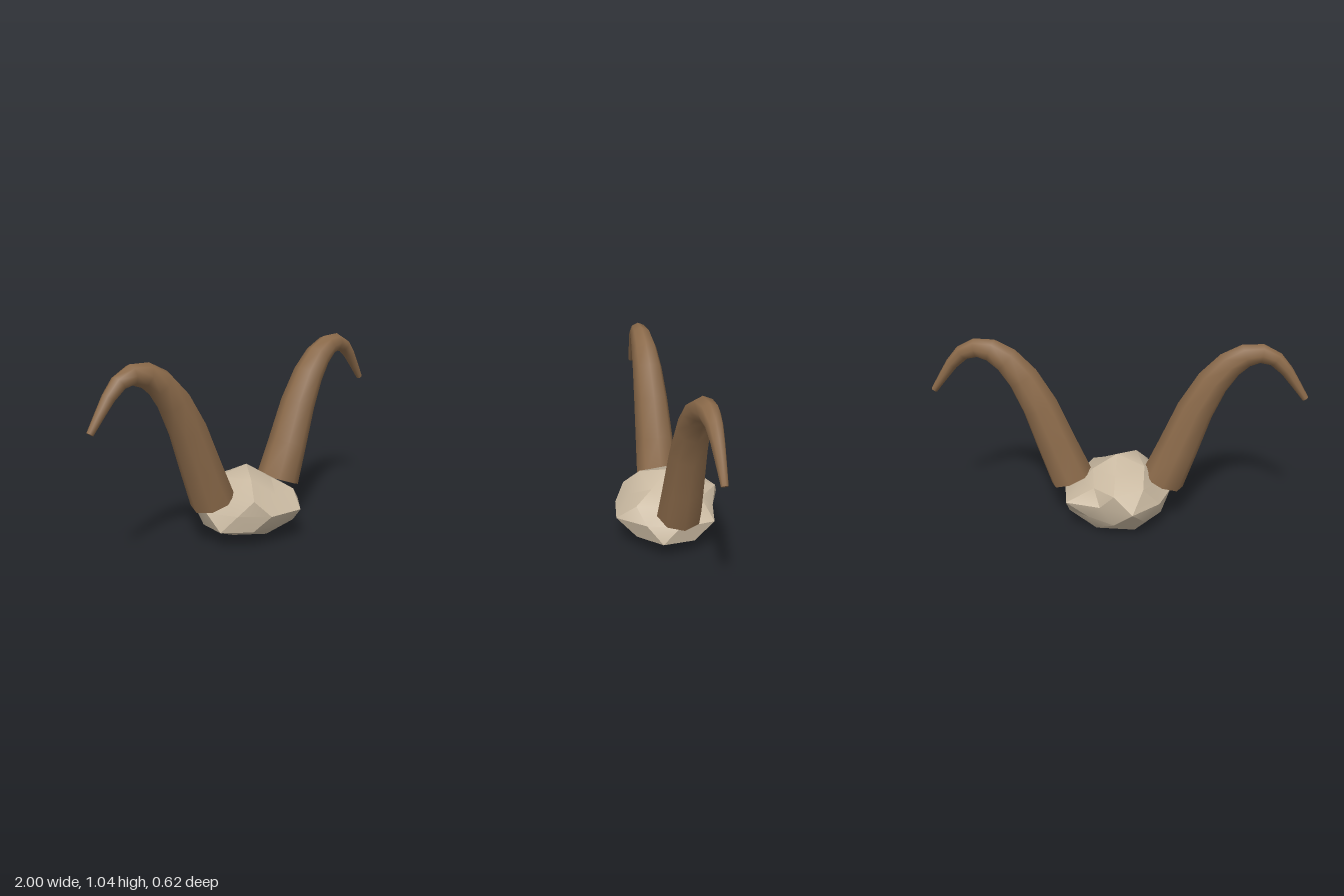
import * as THREE from 'three';
import { toCreasedNormals } from 'three/addons/utils/BufferGeometryUtils.js';

const bone = new THREE.MeshStandardMaterial({ color: 0xc8b8a0 });
bone.name = 'bone';
const hornBrown = new THREE.MeshStandardMaterial({ color: 0x8b6a4a });
hornBrown.name = 'hornBrown';

// Radial scale of the skull's vertices, per ring, every 36 degrees from 18 degrees
const ringScales = [
  { y: 0.85, s: [1, 0.85, 1, 1.06, 1, 1, 1, 0.87, 1, 0.85] },
  { y: 0.49, s: [0.8, 0.95, 0.85, 1, 0.85, 0.82, 1, 1, 0.75, 0.75] },
  { y: 0, s: [0.95, 1.07, 1, 0.97, 0.88, 0.97, 1.08, 1, 0.82, 1.07] },
  { y: -0.49, s: [1.11, 1, 0.93, 0.95, 1.08, 1, 1, 0.97, 0.9, 1.05] },
  { y: -0.85, s: [1.05, 1, 0.97, 1, 0.95, 1, 1.12, 1, 1.1, 1] },
];

function skullGeometry() {
  // Icosphere with one corner straight up
  const geo = new THREE.IcosahedronGeometry(1, 1);
  geo.rotateX(-Math.atan((1 + Math.sqrt(5)) / 2));
  geo.rotateY(Math.PI);
  const pos = geo.attributes.position;
  const v = new THREE.Vector3();
  for (let i = 0; i < pos.count; i++) {
    v.fromBufferAttribute(pos, i);
    let s = v.y > 0 ? 1.1 : 1;
    if (Math.abs(v.y) < 0.95) {
      const k = Math.round((THREE.MathUtils.radToDeg(Math.atan2(v.z, v.x)) - 18) / 36);
      const ring = ringScales.find((r) => Math.abs(r.y - v.y) < 0.1);
      s = ring.s[(k + 10) % 10];
    }
    pos.setXYZ(i, v.x * s * 0.305, 0.19 + v.y * s * 0.19, v.z * s * 0.305);
  }
  return toCreasedNormals(geo, Math.PI / 6);
}

function hornGeometry() {
  // Centre line of the horn, in the plane z = 0
  const path = new THREE.CatmullRomCurve3([
    [0.252, 0.255], [0.34, 0.475], [0.435, 0.715], [0.53, 0.87], [0.62, 0.955],
    [0.71, 0.99], [0.795, 0.975], [0.865, 0.915], [0.925, 0.835], [0.985, 0.75],
  ].map(([x, y]) => new THREE.Vector3(x, y, 0)));

  // Eight-sided cylinder bent along the path and tapered
  const geo = new THREE.CylinderGeometry(1, 1, 1, 8, 10);
  const pos = geo.attributes.position;
  for (let i = 0; i < pos.count; i++) {
    const t = THREE.MathUtils.clamp(pos.getY(i) + 0.5, 0, 1);
    const c = path.getPoint(t);
    const d = path.getTangent(t);
    const r = THREE.MathUtils.mapLinear(c.x, 0.252, 0.985, 0.121, 0.017);
    const x = pos.getX(i) * r;
    pos.setXYZ(i, c.x + d.y * x, c.y - d.x * x, pos.getZ(i) * r);
  }
  return toCreasedNormals(geo, 1.1);
}

export function createModel() {
  const model = new THREE.Group();
  model.name = 'hornedSkull';

  const skull = new THREE.Mesh(skullGeometry(), bone);
  skull.name = 'skull';
  model.add(skull);

  const geo = hornGeometry();
  for (const [name, turn] of [['leftHorn', 0], ['rightHorn', Math.PI]]) {
    const horn = new THREE.Mesh(geo, hornBrown);
    horn.name = name;
    horn.rotation.y = turn;
    model.add(horn);
  }
  return model;
}
